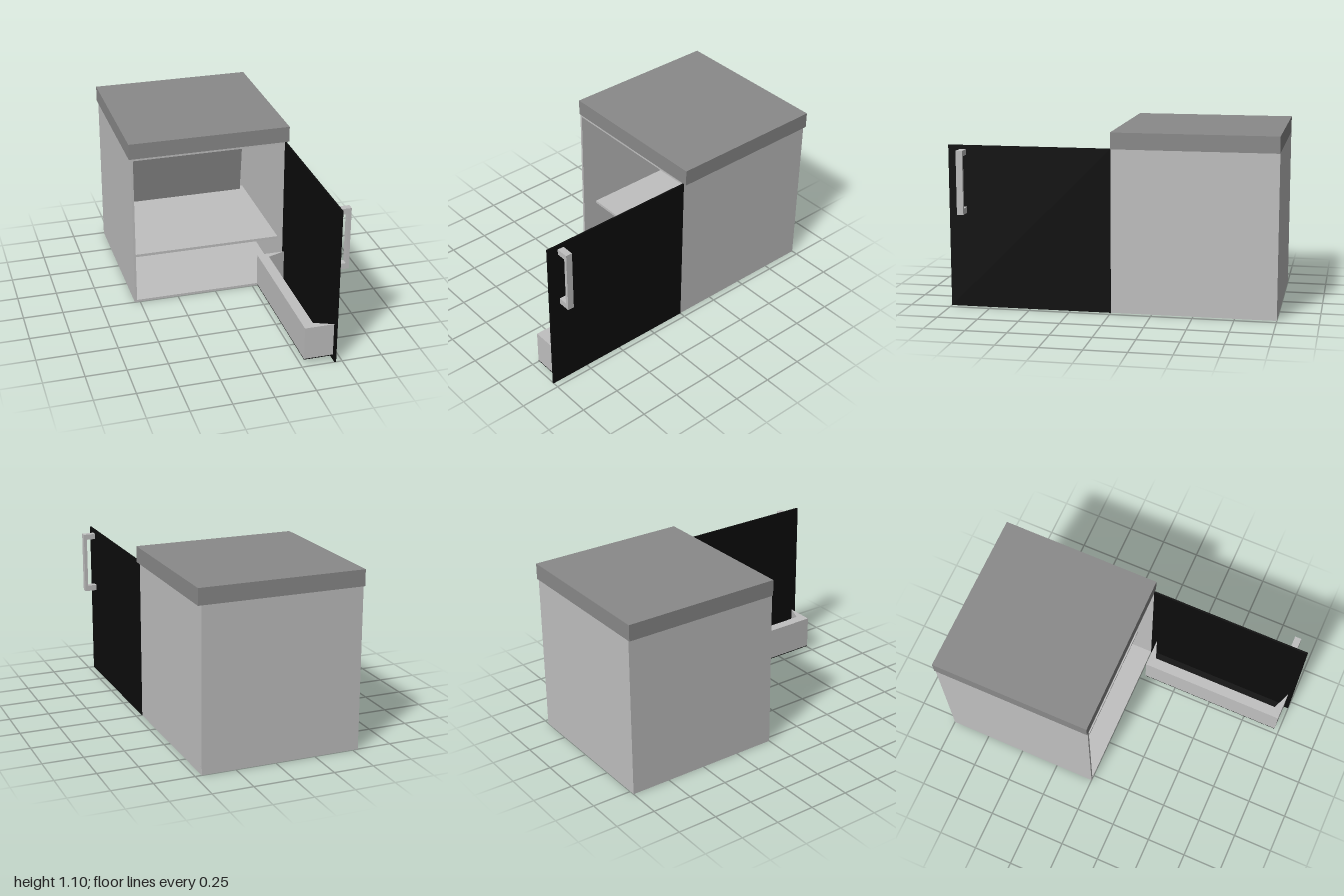
import * as THREE from 'three';

const silver = new THREE.MeshStandardMaterial({ name: 'silver', color: 0xc0c0c0 });
const grey = new THREE.MeshStandardMaterial({ name: 'grey', color: 0x8a8a8a });
const black = new THREE.MeshStandardMaterial({ name: 'black', color: 0x0c0c0c });

// Box given by its minimum and maximum corners
function box(name, material, [x0, y0, z0], [x1, y1, z1]) {
  const mesh = new THREE.Mesh(new THREE.BoxGeometry(x1 - x0, y1 - y0, z1 - z0), material);
  mesh.name = name;
  mesh.position.set((x0 + x1) / 2, (y0 + y1) / 2, (z0 + z1) / 2);
  return mesh;
}

function polygon(points) {
  return new THREE.Shape(points.map(([x, y]) => new THREE.Vector2(x, y)));
}

function rect(x0, y0, x1, y1) {
  return polygon([[x0, y0], [x1, y0], [x1, y1], [x0, y1]]);
}

function extrude(name, material, shape, depth) {
  const mesh = new THREE.Mesh(new THREE.ExtrudeGeometry(shape, { depth, bevelEnabled: false }), material);
  mesh.name = name;
  return mesh;
}

export function createModel() {
  const model = new THREE.Group();
  model.name = 'miniFridge';

  // Cabinet: open-fronted shell, back panel and overhanging top
  const outline = rect(-0.535, 0, 0.46, 1);
  outline.holes.push(rect(-0.52, 0.015, 0.45, 0.988));
  const shell = extrude('cabinetShell', silver, outline, 0.985);
  shell.position.z = -0.985;
  model.add(shell);
  model.add(box('cabinetBack', silver, [-0.535, 0, -1], [0.46, 1, -0.985]));
  model.add(box('topSlab', grey, [-0.545, 1, -1], [0.48, 1.1, 0]));

  // Cooling unit: a box whose front face is narrowed and raised
  const cooler = box('coolingUnit', silver, [-0.52, 0.015, -0.985], [0.45, 0.988, -0.65]);
  const pos = cooler.geometry.attributes.position;
  for (let i = 0; i < pos.count; i++) {
    if (pos.getZ(i) < 0) continue;
    const x = pos.getX(i) < 0 ? -0.44 : 0.37;
    const y = pos.getY(i) < 0 ? 0.7 : 0.978;
    pos.setXY(i, x - cooler.position.x, y - cooler.position.y);
  }
  cooler.geometry.computeVertexNormals();
  model.add(cooler);

  model.add(box('shelf', silver, [-0.52, 0.27, -0.9], [0.45, 0.287, -0.1]));

  // Open door with its bin and handle
  const door = new THREE.Group();
  door.name = 'door';
  door.add(box('doorPanel', black, [0.451, 0, 0], [0.462, 1, 1]));

  // Bin wall, drawn in x and -z, then stood upright
  const wall = polygon([
    [0.27, -0.97], [0.452, -0.97], [0.335, -0.922], [0.335, -0.08], [0.452, -0.037], [0.27, -0.037],
  ]);
  const bin = extrude('binWall', silver, wall, 0.21);
  bin.rotation.x = -Math.PI / 2;
  bin.position.y = 0.035;
  door.add(bin);
  door.add(box('binFloor', black, [0.27, 0.03, 0.037], [0.452, 0.035, 0.97]));

  // Bracket-shaped handle
  const bracket = polygon([
    [0.462, 0.585], [0.54, 0.585], [0.54, 0.975], [0.462, 0.975],
    [0.462, 0.94], [0.52, 0.94], [0.52, 0.622], [0.462, 0.622],
  ]);
  const handle = extrude('doorHandle', silver, bracket, 0.04);
  handle.position.z = 0.89;
  door.add(handle);
  model.add(door);

  return model;
}
